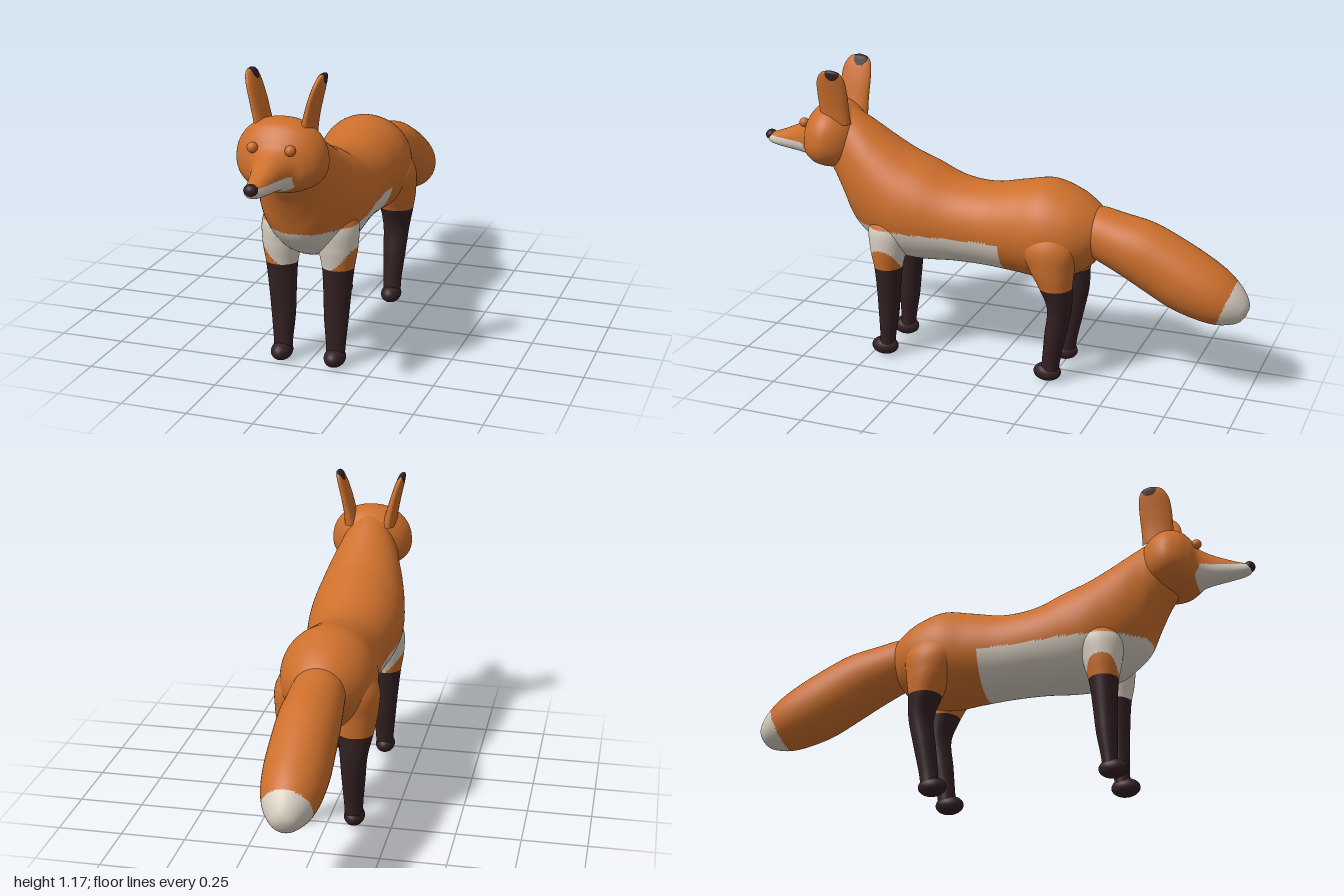
import * as THREE from 'three';

const mat = (name, color) => {
  const m = new THREE.MeshStandardMaterial({ color });
  m.name = name;
  return m;
};

const UP = new THREE.Vector3(0, 1, 0);
const FORWARD = new THREE.Vector3(0, 0, 1);
const ORANGE = 0, WHITE = 1, DARK = 2;

// Smooth closed skin through elliptical sections [x, y, z, radius along x, radius along dir].
// colourAt(x, y, z) picks the colour of each triangle.
function loft(name, sections, dir, steps, sides, materials, colourAt, { power = 1, egg = 0 } = {}) {
  const curve = (pts) => new THREE.CatmullRomCurve3(pts, false, 'catmullrom', 0.5);
  const centre = curve(sections.map((s) => new THREE.Vector3(s[0], s[1], s[2])));
  const radius = curve(sections.map((s) => new THREE.Vector3(s[3], s[4], 0)));
  const round = (v) => Math.sign(v) * Math.abs(v) ** power;
  const pos = [];
  for (let i = 0; i <= steps; i++) {
    const c = centre.getPoint(i / steps), r = radius.getPoint(i / steps);
    const rx = Math.max(r.x, 0.0005), rd = Math.max(r.y, 0.0005);
    for (let j = 0; j < sides; j++) {
      const a = (j / sides) * Math.PI * 2, s = round(Math.sin(a));
      const x = rx * round(Math.cos(a)) * (1 - egg * s);
      pos.push(c.x + x, c.y + dir.y * rd * s, c.z + dir.z * rd * s);
    }
  }
  // Keep faces outward whichever way the sections run
  const sweep = centre.getPoint(1).sub(centre.getPoint(0));
  const flip = new THREE.Vector3(1, 0, 0).cross(dir).dot(sweep) < 0;
  const lists = materials.map(() => []);
  const tri = (a, b, c) => {
    const mid = (k) => (pos[a * 3 + k] + pos[b * 3 + k] + pos[c * 3 + k]) / 3;
    lists[colourAt(mid(0), mid(1), mid(2))].push(...(flip ? [a, c, b] : [a, b, c]));
  };
  for (let i = 0; i < steps; i++) {
    for (let j = 0; j < sides; j++) {
      const k = (j + 1) % sides;
      const a = i * sides + j, b = i * sides + k;
      tri(a, b, a + sides);
      tri(b, b + sides, a + sides);
    }
  }
  const geo = new THREE.BufferGeometry();
  geo.setAttribute('position', new THREE.Float32BufferAttribute(pos, 3));
  geo.setIndex(lists.flat());
  let start = 0;
  lists.forEach((list, m) => {
    if (list.length) geo.addGroup(start, list.length, m);
    start += list.length;
  });
  geo.computeVertexNormals();
  const mesh = new THREE.Mesh(geo, materials);
  mesh.name = name;
  return mesh;
}

// Upright section from z, top, bottom and half width
const upright = ([z, top, bottom, half]) => [0, (top + bottom) / 2, z, half, (top - bottom) / 2];

function ellipsoid(name, material, [x, y, z], [rx, ry, rz]) {
  const mesh = new THREE.Mesh(new THREE.SphereGeometry(1, 28, 20), material);
  mesh.name = name;
  mesh.position.set(x, y, z);
  mesh.scale.set(rx, ry, rz);
  return mesh;
}

export function createModel() {
  const fox = new THREE.Group();
  fox.name = 'fox';
  const orange = mat('orange fur', 0xcc6f2c);
  const white = mat('white fur', 0xd9cfc2);
  const dark = mat('dark brown fur', 0x332022);
  const coat = [orange, white, dark];

  // Torso and neck with white belly
  const torso = [
    [-0.45, 0.62, 0.57, 0], [-0.42, 0.68, 0.52, 0.08], [-0.38, 0.72, 0.465, 0.125],
    [-0.31, 0.76, 0.42, 0.165], [-0.21, 0.788, 0.397, 0.185], [-0.1, 0.77, 0.405, 0.172],
    [0.03, 0.745, 0.414, 0.164], [0.16, 0.757, 0.415, 0.172], [0.28, 0.805, 0.406, 0.187],
    [0.37, 0.84, 0.408, 0.19], [0.45, 0.885, 0.43, 0.178], [0.52, 0.93, 0.47, 0.16],
    [0.58, 0.968, 0.525, 0.137], [0.62, 0.985, 0.61, 0.12], [0.66, 0.98, 0.69, 0.1],
    [0.7, 0.95, 0.75, 0.06], [0.72, 0.87, 0.83, 0],
  ].map(upright);
  fox.add(loft('body', torso, UP, 170, 110, coat,
    (x, y, z) => (y < 0.555 && z > -0.055 ? WHITE : ORANGE)));

  // Head with tapering muzzle and white jaw
  const skull = [
    [0.56, 0.9, 0.83, 0], [0.58, 0.95, 0.79, 0.08], [0.61, 0.982, 0.766, 0.128],
    [0.65, 1.005, 0.752, 0.157], [0.69, 1.01, 0.749, 0.166], [0.735, 0.998, 0.754, 0.15],
    [0.77, 0.963, 0.768, 0.117], [0.795, 0.928, 0.778, 0.082], [0.835, 0.902, 0.784, 0.06],
    [0.9, 0.872, 0.791, 0.043], [0.95, 0.853, 0.798, 0.032], [0.98, 0.845, 0.808, 0.022],
    [0.99, 0.835, 0.825, 0],
  ].map(upright);
  fox.add(loft('head', skull, UP, 120, 80, coat,
    (x, y, z) => (y < 0.838 && z > 0.78 && Math.abs(x) < 0.078 ? WHITE : ORANGE),
    { power: 0.9, egg: 0.08 }));
  fox.add(ellipsoid('nose', dark, [0, 0.835, 0.978], [0.025, 0.021, 0.022]));

  // Bushy tail drooping backwards, with a white tip
  const tail = [
    [0, 0.63, -0.28, 0.06, 0.06], [0, 0.612, -0.36, 0.095, 0.1], [0, 0.59, -0.45, 0.106, 0.106],
    [0, 0.553, -0.56, 0.116, 0.12], [0, 0.504, -0.66, 0.119, 0.125], [0, 0.452, -0.76, 0.119, 0.125],
    [0, 0.41, -0.85, 0.109, 0.112], [0, 0.378, -0.915, 0.088, 0.09], [0, 0.358, -0.96, 0.058, 0.06],
    [0, 0.348, -0.98, 0.032, 0.033], [0, 0.345, -0.986, 0, 0],
  ];
  const tailUp = new THREE.Vector3(0, 0.88, -0.47).normalize();
  fox.add(loft('tail', tail, tailUp, 100, 48, coat,
    (x, y, z) => (-z - 0.39 * (y - 0.375) > 0.907 ? WHITE : ORANGE)));

  const frontLeg = [
    [0.095, 0.64, 0.41, 0.03, 0.04], [0.1, 0.56, 0.415, 0.08, 0.085], [0.108, 0.47, 0.422, 0.075, 0.075],
    [0.11, 0.38, 0.425, 0.06, 0.055], [0.107, 0.28, 0.427, 0.052, 0.046], [0.104, 0.18, 0.43, 0.046, 0.04],
    [0.104, 0.09, 0.436, 0.038, 0.031], [0.104, 0.04, 0.44, 0.035, 0.03],
  ];
  const hindLeg = [
    [0.1, 0.67, -0.235, 0.04, 0.06], [0.11, 0.57, -0.24, 0.086, 0.11], [0.114, 0.48, -0.255, 0.083, 0.09],
    [0.115, 0.4, -0.273, 0.068, 0.064], [0.11, 0.31, -0.288, 0.053, 0.047], [0.107, 0.2, -0.272, 0.045, 0.042],
    [0.105, 0.1, -0.257, 0.037, 0.036], [0.105, 0.04, -0.25, 0.035, 0.034],
  ];
  const ear = [
    [0.078, 0.94, 0.648, 0.03, 0.062], [0.09, 1.0, 0.648, 0.024, 0.062], [0.104, 1.06, 0.647, 0.021, 0.063],
    [0.118, 1.11, 0.645, 0.018, 0.06], [0.127, 1.14, 0.642, 0.015, 0.05], [0.132, 1.158, 0.64, 0.011, 0.033],
    [0.134, 1.167, 0.639, 0, 0],
  ];
  // Dark stockings; the shoulder fades into the white belly
  const frontColour = (x, y, z) => {
    if (y < 0.385) return DARK;
    const edge = 0.47 - 0.9 * Math.max(0, 0.17 - Math.abs(x)) - 8 * (z - 0.43) ** 2;
    return y > edge && y < 0.555 ? WHITE : ORANGE;
  };
  const hindColour = (x, y) => (y < 0.4 ? DARK : ORANGE);
  const earColour = (x, y, z) => (Math.hypot(z - 0.63, y - 1.155) < 0.029 ? DARK : ORANGE);

  for (const [side, s] of [['left', 1], ['right', -1]]) {
    const mirrored = (list) => list.map(([x, ...rest]) => [s * x, ...rest]);
    fox.add(loft(side + 'FrontLeg', mirrored(frontLeg), FORWARD, 110, 44, coat, frontColour));
    fox.add(loft(side + 'HindLeg', mirrored(hindLeg), FORWARD, 110, 44, coat, hindColour));
    fox.add(loft(side + 'Ear', mirrored(ear), FORWARD, 60, 40, coat, earColour));
    fox.add(ellipsoid(side + 'FrontPaw', dark, [s * 0.105, 0.036, 0.45], [0.04, 0.036, 0.055]));
    fox.add(ellipsoid(side + 'HindPaw', dark, [s * 0.105, 0.036, -0.24], [0.04, 0.036, 0.055]));
    fox.add(ellipsoid(side + 'Eye', orange, [s * 0.069, 0.925, 0.792], [0.019, 0.019, 0.019]));
  }
  return fox;
}
